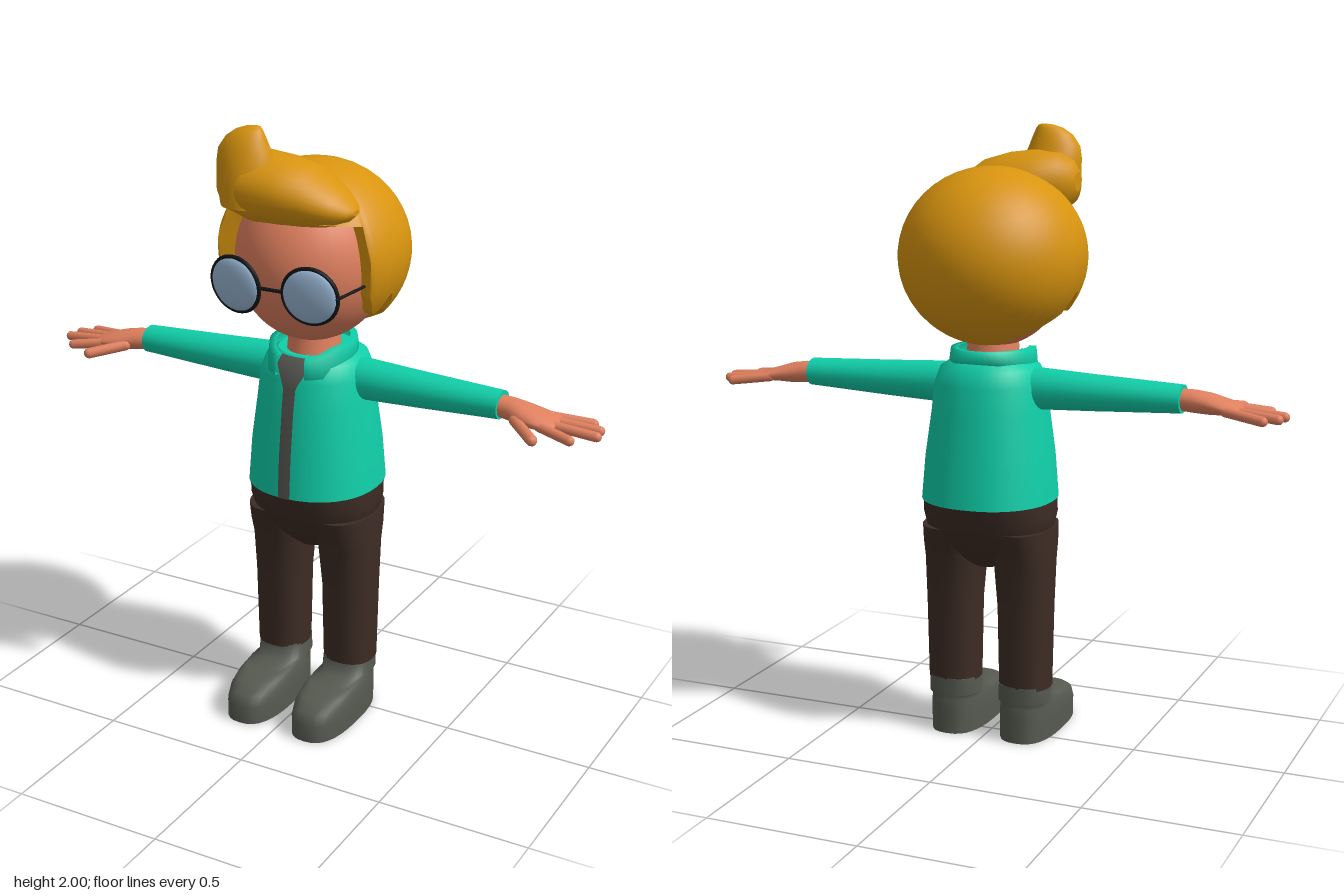
import * as THREE from 'three';

const mat = (name, color, side = THREE.FrontSide) => {
  const m = new THREE.MeshStandardMaterial({ color, side });
  m.name = name;
  return m;
};
const V = (x, y, z) => new THREE.Vector3(x, y, z);
const spow = (v, p) => Math.sign(v) * Math.abs(v) ** p;

// Linear lookup in a table of [key, value, ...] rows
function lookup(table, key, col = 1) {
  for (let i = 1; i < table.length; i++) {
    const a = table[i - 1], b = table[i];
    if (key <= b[0]) return a[col] + (b[col] - a[col]) * (key - a[0]) / (b[0] - a[0]);
  }
  return table[table.length - 1][col];
}

// Surface through rows of points, optionally closed around and capped
function grid(rows, { closed = false, caps = false, flip = false } = {}) {
  const n = rows[0].length, pts = rows.flat(), index = [];
  const tri = (a, b, c) => (flip ? index.push(a, c, b) : index.push(a, b, c));
  for (let r = 0; r < rows.length - 1; r++) {
    for (let i = 0; i < (closed ? n : n - 1); i++) {
      const a = r * n + i, b = r * n + (i + 1) % n;
      tri(a, a + n, b);
      tri(b, a + n, b + n);
    }
  }
  if (caps) {
    [rows[0], rows[rows.length - 1]].forEach((ring, end) => {
      const s = pts.length, mid = V(0, 0, 0);
      ring.forEach((p) => mid.addScaledVector(p, 1 / n));
      pts.push(...ring, mid);
      for (let i = 0; i < n; i++) {
        const j = (i + 1) % n;
        if (end) tri(s + n, s + j, s + i); else tri(s + n, s + i, s + j);
      }
    });
  }
  const g = new THREE.BufferGeometry().setFromPoints(pts);
  g.setIndex(index);
  g.computeVertexNormals();
  return g;
}

// Rings [t, centreA, radiusA, centreB, radiusB] along the y axis (A=x, B=z) or x axis (A=y, B=z)
function loft(rings, axis = 'y', p = 1, n = 32) {
  const rows = rings.map(([t, ca, ra, cb, rb]) => Array.from({ length: n }, (_, i) => {
    const u = (i / n) * Math.PI * 2;
    const a = ca + ra * spow(Math.cos(u), p), b = cb + rb * spow(Math.sin(u), p);
    return axis === 'y' ? V(a, t, b) : V(t, a, b);
  }));
  const falling = rings[rings.length - 1][0] < rings[0][0];
  return grid(rows, { closed: true, caps: true, flip: (axis === 'x') !== falling });
}

export function createModel() {
  const root = new THREE.Group();
  const skin = mat('skin', 0xe0805f), hairMat = mat('hair', 0xd8940f, THREE.DoubleSide);
  const jacketMat = mat('jacket', 0x10cfa9, THREE.DoubleSide), shirtMat = mat('shirt', 0x555550, THREE.DoubleSide);
  const pantsMat = mat('trousers', 0x3d2c24), shoeMat = mat('shoes', 0x565a50);
  const lensMat = mat('lens', 0x9ab8d6), frameMat = mat('frame', 0x111416);

  const add = (name, geo, material, parent = root) => {
    const m = new THREE.Mesh(geo, material);
    m.name = name;
    parent.add(m);
    return m;
  };
  const rod = (name, a, b, r, material) => {
    const d = b.clone().sub(a);
    const m = add(name, new THREE.CapsuleGeometry(r, d.length(), 5, 10), material);
    m.position.copy(a).lerp(b, 0.5);
    m.quaternion.setFromUnitVectors(V(0, 1, 0), d.normalize());
  };

  // Head and neck
  const head = add('head', new THREE.SphereGeometry(1, 40, 28), skin);
  head.scale.set(0.243, 0.27, 0.262);
  head.position.set(0, 1.57, 0.012);
  add('neck', loft([[1.2, 0, 0.1, 0.01, 0.11], [1.27, 0, 0.085, 0.01, 0.09], [1.36, 0, 0.08, 0.01, 0.08]]), skin);

  // Hair shell: lower edge height by angle from the front
  const hairline = [[0, 1.74], [60, 1.72], [64, 1.5], [72, 1.44], [78, 1.42], [82, 1.46], [85, 1.49],
    [89, 1.48], [92, 1.42], [110, 1.38], [135, 1.33], [180, 1.31]];
  const hairPoint = (deg, f, inset = 1) => {
    const a = THREE.MathUtils.degToRad(deg);
    const phi = f * Math.acos((lookup(hairline, Math.abs(deg)) - 1.59) / 0.285);
    const r = Math.sin(phi) * inset, c = Math.cos(a);
    const x = 0.3 * spow(Math.sin(a), c > 0 ? 0.85 : 1);
    const z = c > 0 ? 0.28 * c ** 0.85 : 0.303 * c;
    return V(x * r, 1.59 + 0.285 * Math.cos(phi), z * r);
  };
  const hairRow = (f, inset) => Array.from({ length: 180 }, (_, i) => hairPoint(i * 2 - 180, f, inset));
  add('hair', grid(Array.from({ length: 19 }, (_, r) => hairRow(Math.max(r, 0.01) / 18)), { closed: true }), hairMat);
  add('hairRim', grid([hairRow(1), hairRow(1, 0.75)], { closed: true }), hairMat);

  // Swept fringe with an upturned curl
  add('fringe', loft([
    [-0.226, 1.82, 0.03, 0.17, 0.03], [-0.215, 1.82, 0.065, 0.17, 0.065], [-0.18, 1.82, 0.095, 0.17, 0.1],
    [-0.1, 1.812, 0.11, 0.16, 0.137], [0, 1.805, 0.105, 0.155, 0.137], [0.08, 1.795, 0.092, 0.15, 0.125],
    [0.17, 1.768, 0.052, 0.14, 0.09], [0.205, 1.76, 0.025, 0.14, 0.05], [0.215, 1.76, 0.008, 0.14, 0.02]], 'x'), hairMat);
  add('curl', loft([
    [1.76, -0.12, 0.09, 0.19, 0.1], [1.83, -0.122, 0.1, 0.195, 0.095], [1.89, -0.128, 0.096, 0.2, 0.075],
    [1.93, -0.133, 0.085, 0.202, 0.062], [1.965, -0.128, 0.066, 0.202, 0.047], [1.987, -0.118, 0.045, 0.198, 0.03],
    [1.997, -0.108, 0.025, 0.192, 0.017], [2, -0.102, 0.008, 0.19, 0.006]]), hairMat);

  // Glasses
  for (const s of [1, -1]) {
    const eye = new THREE.Group();
    eye.name = s > 0 ? 'leftEyeglass' : 'rightEyeglass';
    eye.position.set(s * 0.13, 1.523, 0.271);
    eye.rotation.set(0.12, s * 0.12, 0);
    root.add(eye);
    add('lens', new THREE.SphereGeometry(0.088, 32, 16), lensMat, eye).scale.z = 0.28;
    add('rim', new THREE.TorusGeometry(0.089, 0.007, 8, 36), frameMat, eye);
    rod('temple', V(s * 0.218, 1.525, 0.265), V(s * 0.238, 1.53, 0.1), 0.005, frameMat);
  }
  rod('bridge', V(-0.042, 1.525, 0.278), V(0.042, 1.525, 0.278), 0.006, frameMat);

  // Jacket body: height, half width, front z, back z
  const body = [[0.81, 0.217, 0.21, -0.235], [0.95, 0.206, 0.2, -0.222], [1.1, 0.186, 0.181, -0.2],
    [1.19, 0.178, 0.166, -0.188], [1.24, 0.158, 0.15, -0.172], [1.265, 0.12, 0.115, -0.14]];
  add('jacketBody', loft(body.map(([y, rx, f, b]) => [y, 0, rx, (f + b) / 2, (f - b) / 2]), 'y', 0.9, 40), jacketMat);

  // Shirt showing in the open jacket front
  const opening = [[0.811, 0.021], [0.95, 0.021], [1.1, 0.021], [1.17, 0.022], [1.19, 0.03], [1.24, 0.058], [1.262, 0.06]];
  add('shirtFront', grid(opening.map(([y, w]) => [-1, -0.5, 0, 0.5, 1].map((k) => {
    const f = lookup(body, y, 2), b = lookup(body, y, 3), q = Math.abs(k * w) / lookup(body, y, 1);
    return V(k * w, y, (f + b) / 2 + (f - b) / 2 * (1 - q ** 2.22) ** 0.45 + 0.005);
  })), { flip: true }), shirtMat);

  // Collar, open at the front
  const collarRow = (grow, heights) => Array.from({ length: 41 }, (_, i) => {
    const a = THREE.MathUtils.degToRad(22 + i * 7.9), z = 0.015 + (0.165 + grow) * Math.cos(a);
    return V((0.135 + grow) * Math.sin(a), lookup(heights, z), z);
  });
  const low = [[-0.16, 1.265], [0.13, 1.21], [0.2, 1.208]], high = [[-0.16, 1.302], [0.08, 1.298], [0.12, 1.28], [0.2, 1.255]];
  add('collar', grid([collarRow(-0.025, low), collarRow(0.005, low), collarRow(-0.002, high), collarRow(-0.025, high)]), jacketMat);

  // Arms and hands
  for (const s of [1, -1]) {
    add('sleeve', loft([[0.1, 1.172, 0.07, -0.015, 0.068], [0.18, 1.177, 0.067, -0.015, 0.066],
      [0.35, 1.176, 0.059, -0.014, 0.061], [0.645, 1.177, 0.045, -0.012, 0.053]].map(([x, ...r]) => [s * x, ...r]), 'x', 1, 20), jacketMat);
    add('hand', loft([[0.62, 1.176, 0.034, -0.012, 0.038], [0.68, 1.172, 0.036, -0.006, 0.044], [0.73, 1.166, 0.033, 0.002, 0.06],
      [0.78, 1.159, 0.024, 0.002, 0.067], [0.82, 1.154, 0.018, -0.002, 0.063], [0.835, 1.152, 0.008, -0.002, 0.05]]
      .map(([x, ...r]) => [s * x, ...r]), 'x', 1, 20), skin);
    for (const [z0, x, z] of [[-0.05, 0.915, -0.085], [-0.02, 0.952, -0.04], [0.015, 0.96, 0.01], [0.048, 0.9, 0.078]]) {
      rod('finger', V(s * 0.79, 1.154, z0), V(s * x, 1.14, z), 0.016, skin);
    }
    rod('thumb', V(s * 0.71, 1.158, 0.045), V(s * 0.8, 1.14, 0.128), 0.018, skin);
  }

  // Trousers
  add('hips', loft([[0.585, 0, 0.05, -0.01, 0.07], [0.61, 0, 0.1, -0.01, 0.1], [0.65, 0, 0.17, -0.01, 0.135],
    [0.7, 0, 0.207, -0.01, 0.168], [0.76, 0, 0.217, -0.01, 0.198], [0.815, 0, 0.214, -0.012, 0.212]], 'y', 0.9), pantsMat);
  for (const s of [1, -1]) {
    add('trouserLeg', loft([[0.18, 0.126, 0.086, -0.012, 0.084], [0.45, 0.126, 0.09, -0.012, 0.094],
      [0.6, 0.122, 0.096, -0.01, 0.113], [0.66, 0.118, 0.1, -0.01, 0.14], [0.72, 0.115, 0.1, -0.01, 0.16]]
      .map(([y, x, ...r]) => [y, s * x, ...r]), 'y', 0.85, 24), pantsMat);

    // Boots
    add('boot', loft([[0, 0.123, 0.092, 0.102, 0.203], [0.06, 0.123, 0.093, 0.102, 0.203], [0.095, 0.123, 0.092, 0.092, 0.193],
      [0.117, 0.123, 0.088, 0.072, 0.171], [0.13, 0.123, 0.084, 0.04, 0.136], [0.133, 0.123, 0.083, -0.01, 0.089],
      [0.19, 0.124, 0.082, -0.014, 0.082]].map(([y, x, ...r]) => [y, s * x, ...r]), 'y', 0.75), shoeMat);
  }
  return root;
}
